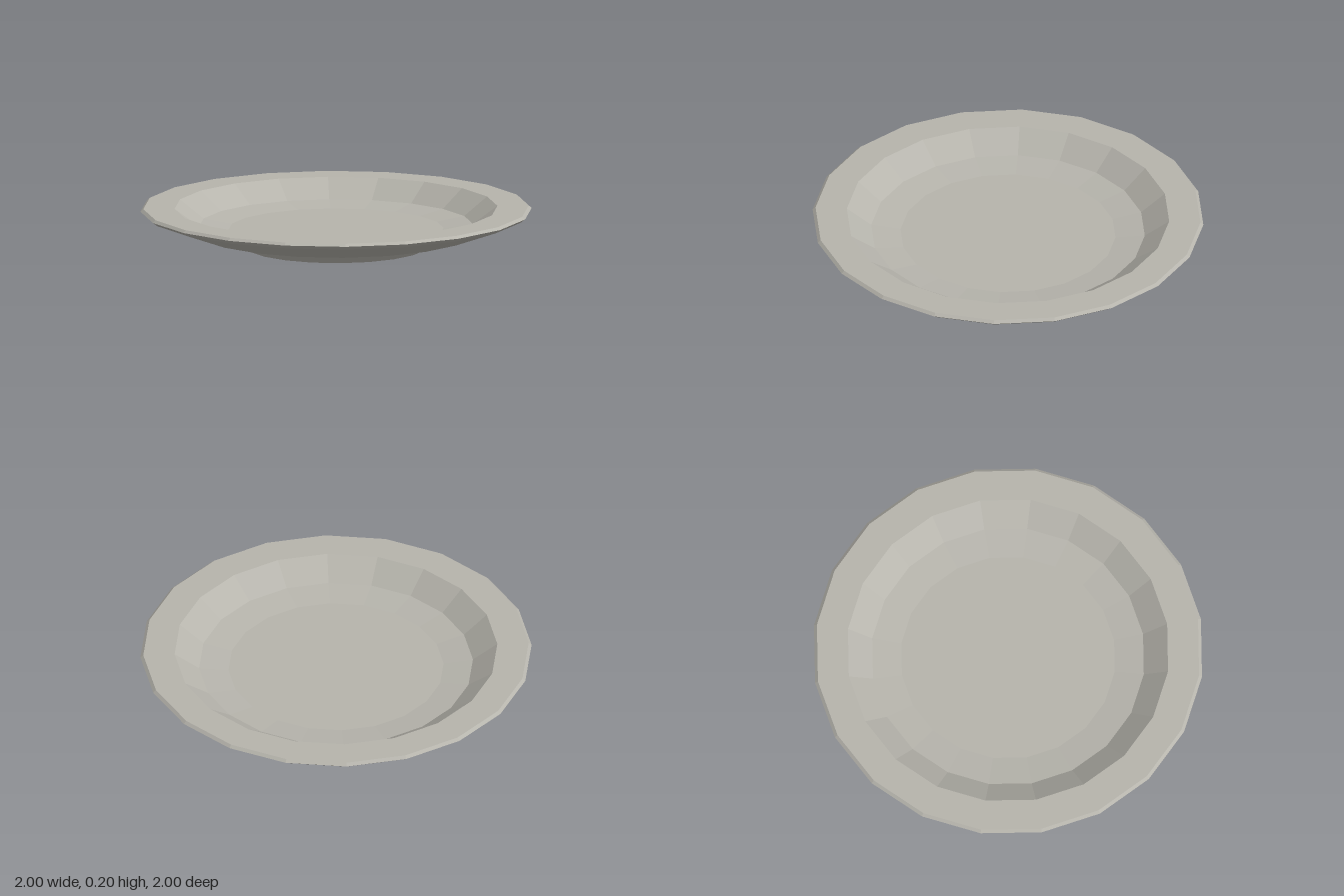
import * as THREE from 'three';

const SIDES = 20;

export function createModel() {
  const group = new THREE.Group();
  group.name = 'plate';
  const ceramic = new THREE.MeshStandardMaterial({ color: 0xb6b4ac });
  ceramic.name = 'warm grey ceramic';
  ceramic.flatShading = true;

  // Turn a [radius, height] profile into a faceted ring
  const turn = (name, profile) => {
    const points = profile.map(([r, y]) => new THREE.Vector2(r, y));
    const mesh = new THREE.Mesh(new THREE.LatheGeometry(points, SIDES), ceramic);
    mesh.name = name;
    group.add(mesh);
  };

  // Foot with bevelled sides and a closed base
  turn('foot', [[0, 0], [0.47, 0], [0.5, 0.035], [0.475, 0.057]]);

  // Sloping underside up to the rim edge
  turn('underside', [[0.475, 0.057], [0.73, 0.078], [0.975, 0.168], [1, 0.187], [0.985, 0.2]]);

  // Flat rim
  turn('rim', [[0.985, 0.2], [0.825, 0.2]]);

  // Sunken well with a shallow step to its flat floor
  turn('well', [[0.825, 0.2], [0.7, 0.107], [0.55, 0.088], [0, 0.088]]);

  return group;
}
